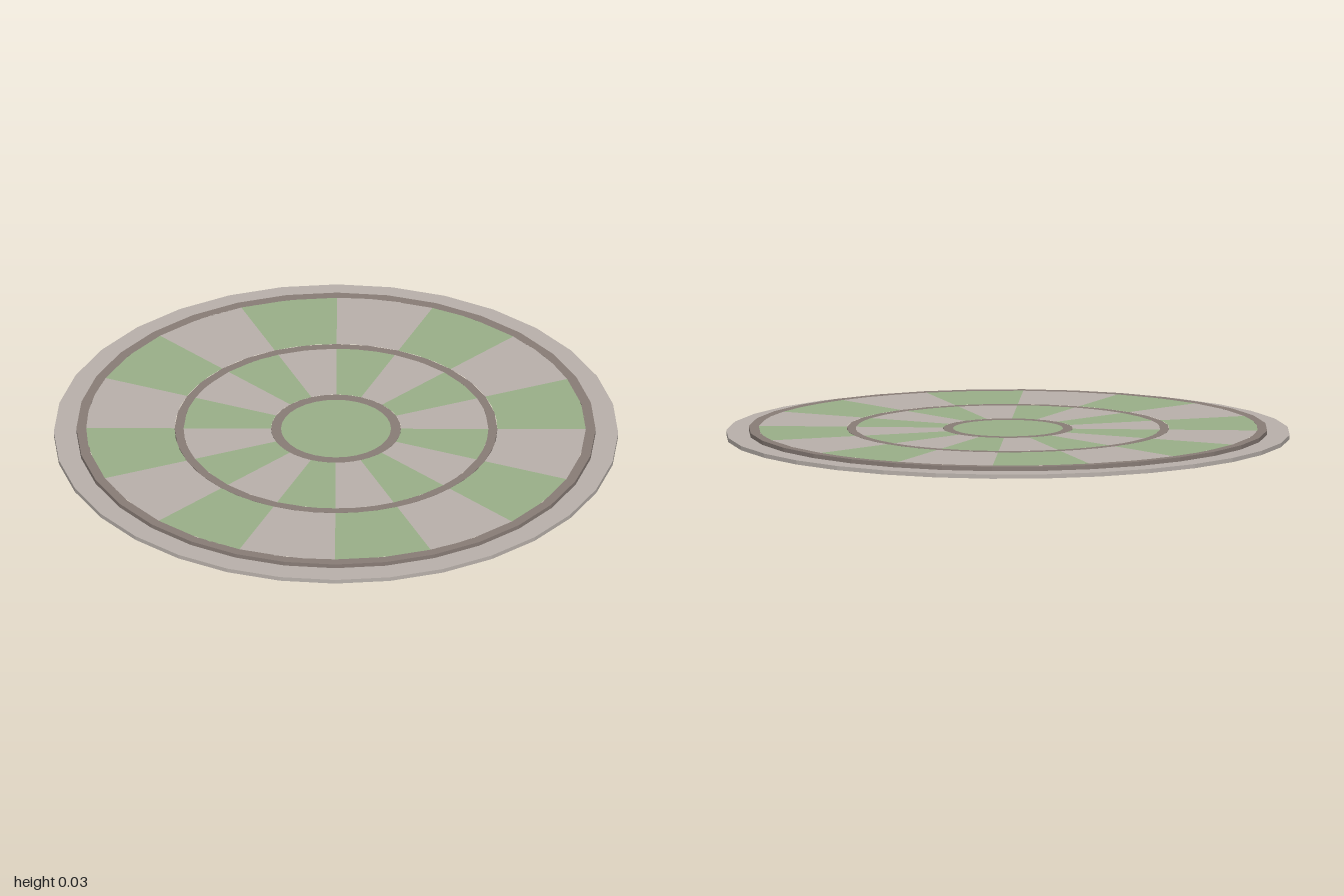
import * as THREE from 'three';
import { mergeGeometries } from 'three/addons/utils/BufferGeometryUtils.js';

const SIDES = 32, SECTORS = 16;
const BASE = 0.015, TOP = 0.03; // underside and top of the patterned panel

function material(name, color) {
  const m = new THREE.MeshStandardMaterial({ color, flatShading: true });
  m.name = name;
  return m;
}

// Solid ring with a rectangular section
function ring(inner, outer, y0, y1) {
  const profile = [[inner, y0], [outer, y0], [outer, y1], [inner, y1], [inner, y0]]
    .map(([r, y]) => new THREE.Vector2(r, y));
  return new THREE.LatheGeometry(profile, SIDES);
}

// Every second wedge of a band, with top and bottom faces
function wedges(inner, outer, parity) {
  const step = (Math.PI * 2) / SECTORS, parts = [];
  for (let s = parity; s < SECTORS; s += 2) {
    const segments = SIDES / SECTORS;
    parts.push(
      new THREE.RingGeometry(inner, outer, segments, 1, s * step, step)
        .rotateX(-Math.PI / 2).translate(0, TOP, 0),
      new THREE.RingGeometry(inner, outer, segments, 1, -(s + 1) * step, step)
        .rotateX(Math.PI / 2).translate(0, BASE, 0));
  }
  return mergeGeometries(parts);
}

export function createModel() {
  const model = new THREE.Group();
  model.name = 'roundPatternedPlatform';
  const stone = material('pale stone', 0xb8b0aa);
  const green = material('soft green', 0x99af88);
  const brown = material('grey brown', 0x887c76);

  const add = (name, geometry, mat) => {
    const mesh = new THREE.Mesh(geometry, mat);
    mesh.name = name;
    model.add(mesh);
  };

  // Low step around the panel, hollow underneath
  add('rim', ring(0.915, 1, 0, BASE), stone);

  // Dividing rings
  add('outerRing', ring(0.885, 0.92, BASE, TOP), brown);
  add('middleRing', ring(0.54, 0.572, BASE, TOP), brown);
  add('innerRing', ring(0.195, 0.23, BASE, TOP), brown);

  // Alternating wedges, swapped between the two bands
  add('outerGreenTiles', wedges(0.572, 0.885, 0), green);
  add('outerStoneTiles', wedges(0.572, 0.885, 1), stone);
  add('innerGreenTiles', wedges(0.23, 0.54, 1), green);
  add('innerStoneTiles', wedges(0.23, 0.54, 0), stone);

  // Centre medallion
  add('centreDisc', new THREE.CylinderGeometry(0.195, 0.195, TOP - BASE, SIDES)
    .translate(0, (TOP + BASE) / 2, 0), green);

  return model;
}
